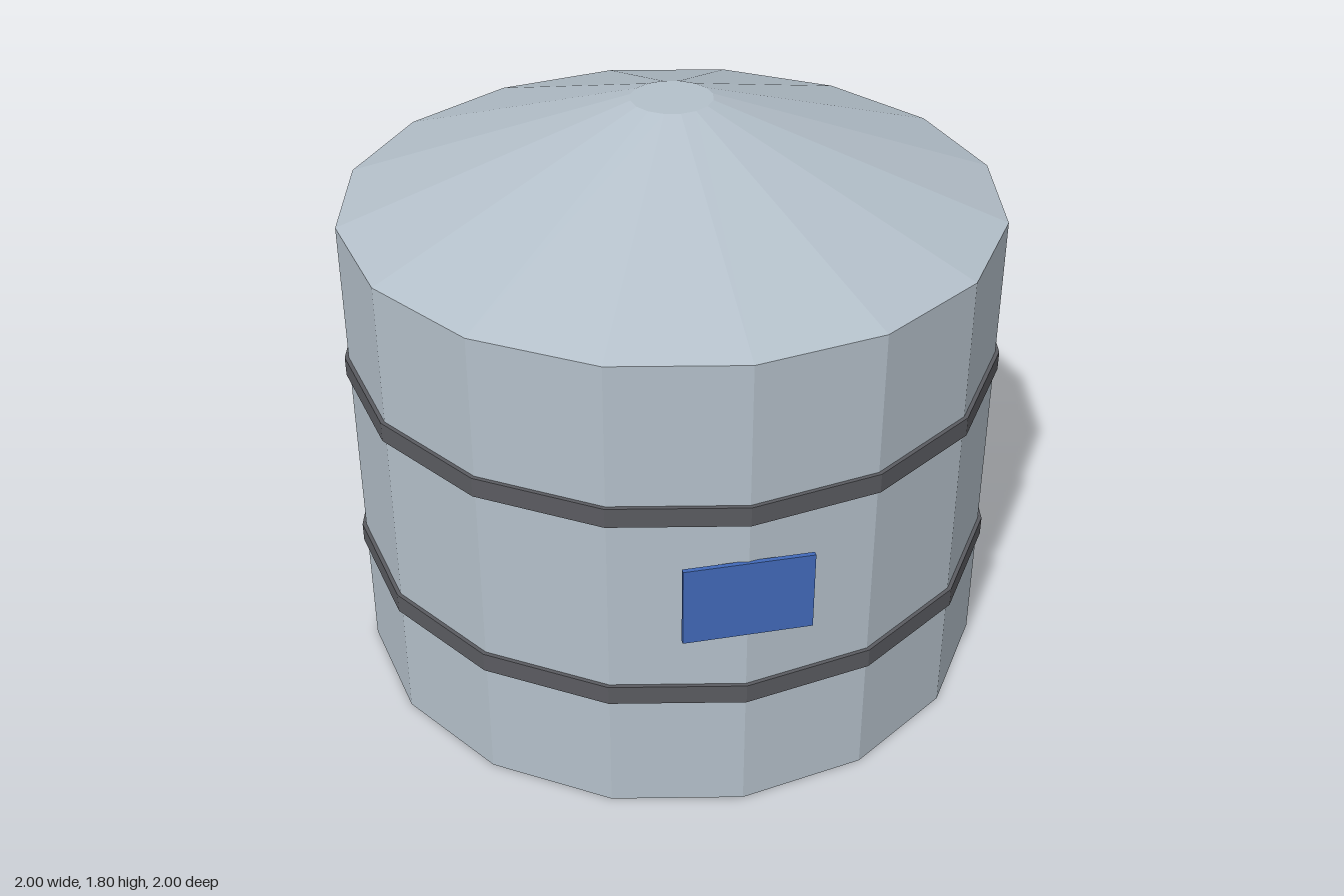
import * as THREE from 'three';

const SIDES = 16;

function material(name, color) {
  const m = new THREE.MeshStandardMaterial({ color, flatShading: true });
  m.name = name;
  return m;
}

export function createModel() {
  const group = new THREE.Group();
  group.name = 'storageTank';

  const steel = material('paleSteel', 0xb4c0ca);
  const dark = material('darkBand', 0x5a5b60);
  const blue = material('bluePanel', 0x4169b8);

  const add = (name, geometry, mat, y, z = 0) => {
    const mesh = new THREE.Mesh(geometry, mat);
    mesh.name = name;
    mesh.position.set(0, y, z);
    group.add(mesh);
  };

  // Faceted drum, and a truncated conical roof flush with its wall
  const wall = 1.485, roof = 0.315, radius = 0.988;
  add('tankBody', new THREE.CylinderGeometry(radius, radius, wall, SIDES), steel, wall / 2);
  add('roof', new THREE.CylinderGeometry(0.122, radius, roof, SIDES, 1), steel, wall + roof / 2);

  // Reinforcing hoops
  [['lowerHoop', 0.407], ['upperHoop', 1.022]].forEach(([name, y]) =>
    add(name, new THREE.CylinderGeometry(1, 1, 0.06, SIDES), dark, y));

  // Flat plate on the front
  add('frontPanel', new THREE.BoxGeometry(0.37, 0.245, 0.014), blue, 0.743, 0.99);

  return group;
}
